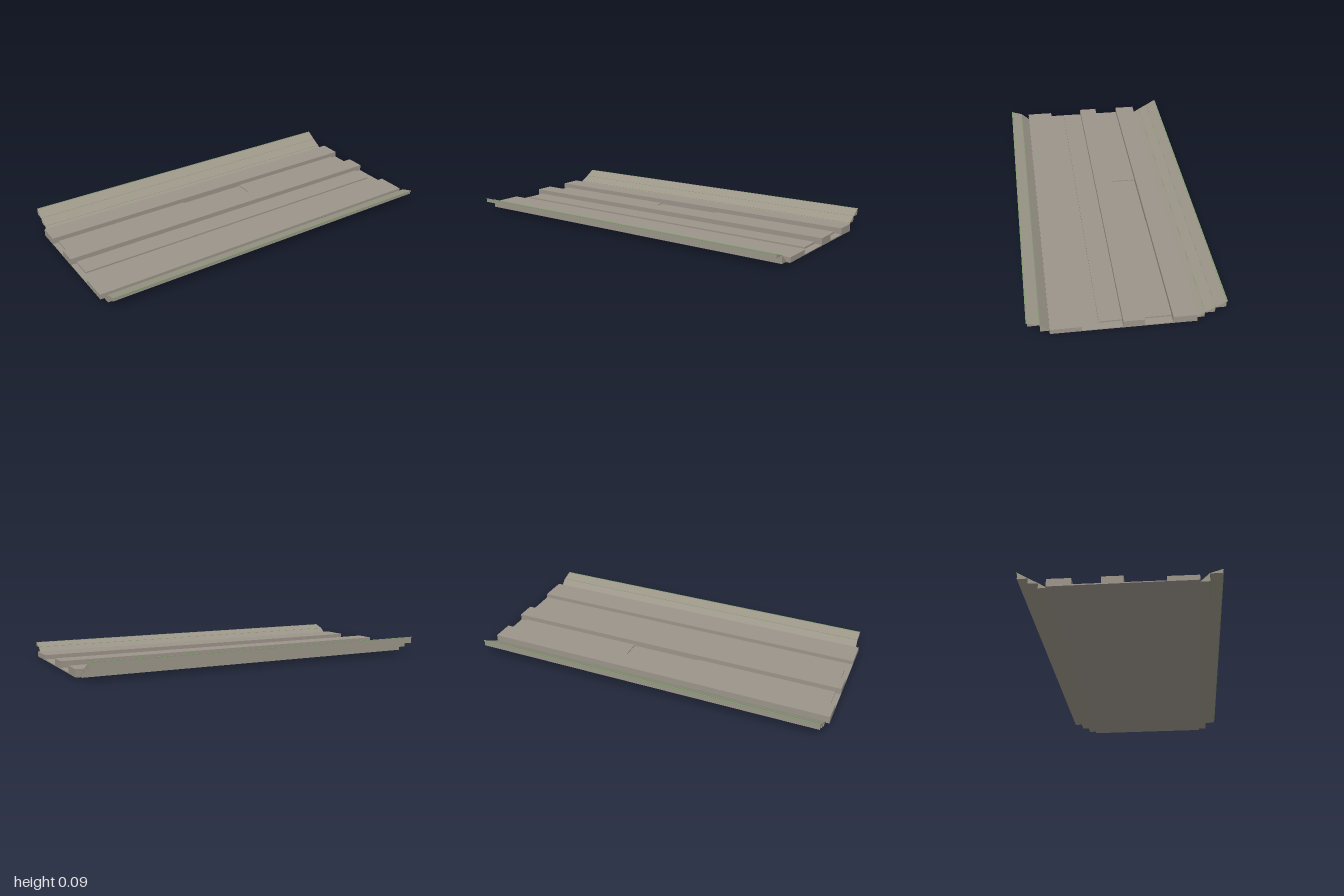
import * as THREE from 'three';

const stone = new THREE.MeshStandardMaterial({ color: 0x9b948a });
stone.name = 'stone';
const earth = new THREE.MeshStandardMaterial({ color: 0x9c9689 });
earth.name = 'earth';
const grass = new THREE.MeshStandardMaterial({ color: 0x7f9a6c });
grass.name = 'grass';

// Sweeps a cross-section of [z, y] points along x from x0 to x1.
function sweep(name, points, x0, x1, material) {
  const shape = new THREE.Shape(points.map(([z, y]) => new THREE.Vector2(z, y)));
  const geometry = new THREE.ExtrudeGeometry(shape, { depth: x1 - x0, bevelEnabled: false });
  geometry.rotateY(-Math.PI / 2);
  geometry.translate(x1, 0, 0);
  const mesh = new THREE.Mesh(geometry, material);
  mesh.name = name;
  return mesh;
}

// Rectangular slab given by its z, y and x ranges.
function slab(name, z0, z1, y0, y1, x0, x1, material = stone) {
  return sweep(name, [[z0, y0], [z1, y0], [z1, y1], [z0, y1]], x0, x1, material);
}

export function createModel() {
  const group = new THREE.Group();
  group.name = 'stationGround';

  // Thin ground plate, its underside dipping a little towards the back
  group.add(sweep('groundPlate', [[-0.34, 0], [0.38, 0.005], [0.38, 0.009], [-0.34, 0.007]], -1, 1, stone));

  // Three long raised platforms
  group.add(slab('frontPlatform', 0.225, 0.379, 0.006, 0.032, -1, 1));
  group.add(slab('middlePlatform', -0.08, 0.025, 0.005, 0.043, -1, 1));
  group.add(slab('backPlatform', -0.339, -0.22, 0.003, 0.041, -1, 1));

  // Low track beds between the platforms, the back one with a sunken middle
  group.add(slab('frontTrackBed', 0.025, 0.14, 0.005, 0.017, -0.97, 0.96));
  group.add(slab('backTrackBedRight', -0.22, -0.08, 0.004, 0.016, -0.97, -0.18));
  group.add(slab('backTrackBedLeft', -0.22, -0.08, 0.004, 0.016, 0.22, 0.96));
  group.add(slab('backTrackBedMiddle', -0.22, -0.08, 0.004, 0.01, -0.18, 0.22));

  // Stepped banks: [inner z, inner y, outer z, outer y, underside y]
  const banks = {
    frontBank: [[0.38, 0.009, 0.425, 0.051, 0.009], [0.425, 0.051, 0.485, 0.07, 0.051]],
    backBank: [
      [-0.34, 0.007, -0.38, 0.033, 0.006],
      [-0.38, 0.033, -0.43, 0.061, 0.033],
      [-0.43, 0.061, -0.483, 0.094, 0.061],
    ],
  };
  for (const [name, steps] of Object.entries(banks)) {
    steps.forEach(([zi, yi, zo, yo, yb], i) => {
      const points = [[zi, yb - 0.002], [zo, yb - 0.002], [zo, yo], [zi, yi]];
      group.add(sweep(name + (i + 1), points, -0.98, 0.98, earth));
      // Narrow grass lip along the upper edge of each step
      const s = Math.sign(zo);
      group.add(slab(name + 'Grass' + (i + 1), Math.min(zo, zo + s * 0.006), Math.max(zo, zo + s * 0.006),
        yo - 0.002, yo + 0.001, -0.98, 0.98, grass));
    });
  }
  return group;
}
